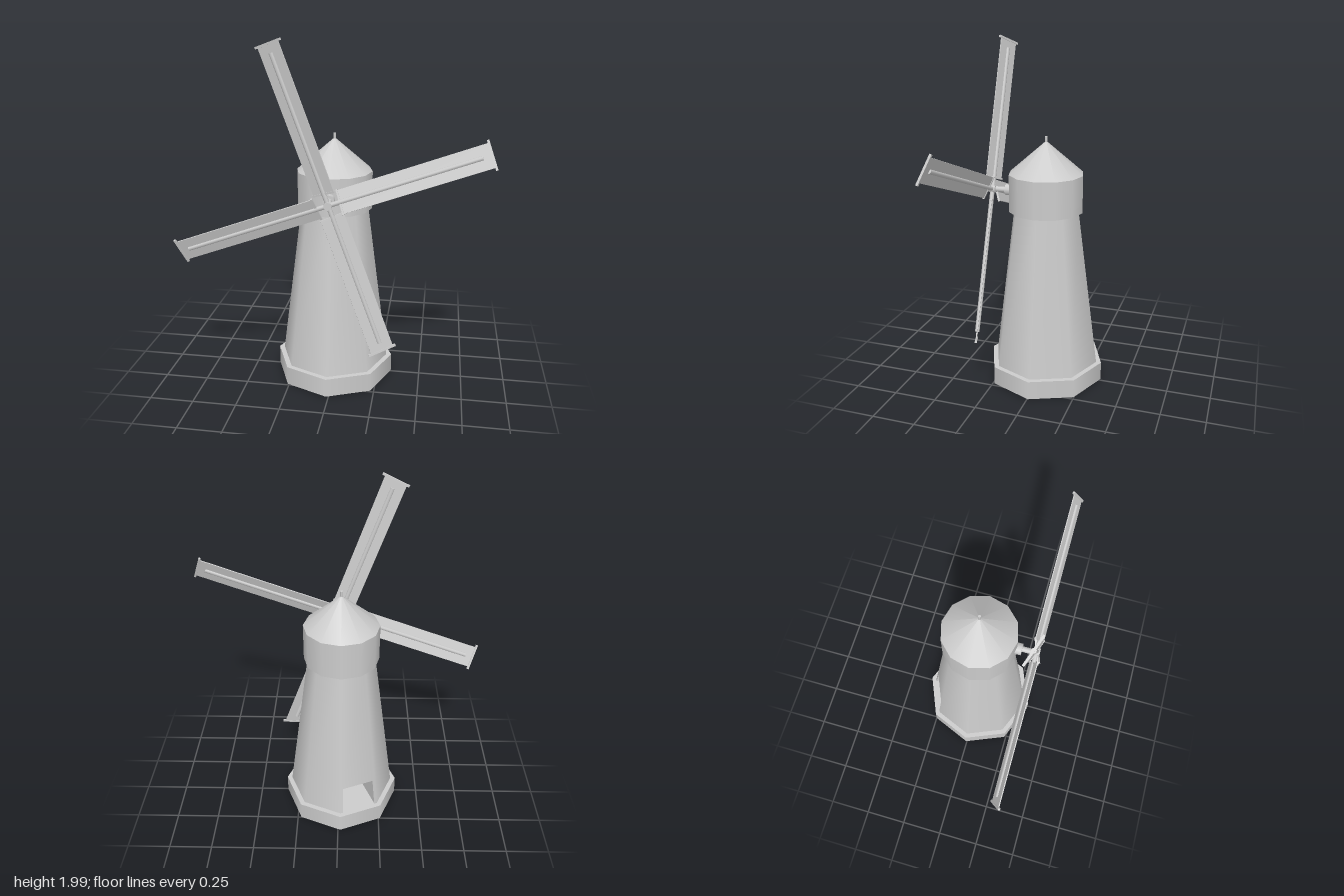
import * as THREE from 'three';

const material = new THREE.MeshStandardMaterial({ color: 0xcccccc, side: THREE.DoubleSide });

function add(parent, name, geometry, x = 0, y = 0, z = 0) {
  const mesh = new THREE.Mesh(geometry, material);
  mesh.name = name;
  mesh.position.set(x, y, z);
  parent.add(mesh);
  return mesh;
}

// Quads (corners anticlockwise from the front) to a non-indexed geometry
function quadGeometry(quads) {
  const points = quads.flatMap(([a, b, c, d]) => [a, b, c, a, c, d]);
  const geometry = new THREE.BufferGeometry().setFromPoints(points);
  geometry.computeVertexNormals();
  return geometry;
}

// Tapered eight-sided tower
const SIDES = 8, Y0 = 0.11, Y1 = 1.04, R0 = 0.315, R1 = 0.193;
const DOOR_SIDE = 4, DOOR_TOP = 0.285, DOOR_U = [0.07, 0.93];

function towerPoint(side, u, y) {
  const r = THREE.MathUtils.mapLinear(y, Y0, Y1, R0, R1);
  const corner = (k) => {
    const a = (k / SIDES) * Math.PI * 2;
    return new THREE.Vector3(Math.sin(a) * r, y, Math.cos(a) * r);
  };
  return corner(side).lerp(corner(side + 1), u);
}

function panel(side, u0, u1, y0, y1) {
  return [[u0, y0], [u1, y0], [u1, y1], [u0, y1]].map(([u, y]) => towerPoint(side, u, y));
}

function towerWalls() {
  const quads = [];
  for (let k = 0; k < SIDES; k++) {
    if (k !== DOOR_SIDE) {
      quads.push(panel(k, 0, 1, Y0, Y1));
      continue;
    }
    quads.push(panel(k, 0, 1, DOOR_TOP, Y1));
    quads.push(panel(k, 0, DOOR_U[0], Y0, DOOR_TOP), panel(k, DOOR_U[1], 1, Y0, DOOR_TOP));
  }
  const geometry = quadGeometry(quads);
  // Radial normals give the soft round shading
  const { position, normal } = geometry.attributes;
  const n = new THREE.Vector3();
  for (let i = 0; i < position.count; i++) {
    n.set(position.getX(i), 0, position.getZ(i)).normalize().setY((R0 - R1) / (Y1 - Y0)).normalize();
    normal.setXYZ(i, n.x, n.y, n.z);
  }
  return geometry;
}

function doorRecess() {
  const front = panel(DOOR_SIDE, DOOR_U[0], DOOR_U[1], Y0 + 0.003, DOOR_TOP);
  const angle = ((DOOR_SIDE + 0.5) / SIDES) * Math.PI * 2;
  const inward = new THREE.Vector3(-Math.sin(angle), 0, -Math.cos(angle)).multiplyScalar(0.4);
  const [a, b, c, d] = front;
  const [A, B, C, D] = front.map((p) => p.clone().add(inward));
  return quadGeometry([[A, B, C, D], [a, b, B, A], [d, D, C, c], [a, A, D, d], [B, b, c, C]]);
}

// One sail: pitched panel, spar and end battens, running along +x
function makeSail(angle) {
  const sail = new THREE.Group();
  sail.name = 'sail';
  sail.rotation.z = angle;
  const pitched = new THREE.Group();
  pitched.name = 'pitchedSail';
  pitched.rotation.x = -THREE.MathUtils.degToRad(20);
  sail.add(pitched);
  add(pitched, 'sailPanel', new THREE.BoxGeometry(0.81, 0.13, 0.006), 0.47);
  add(pitched, 'innerBatten', new THREE.BoxGeometry(0.01, 0.14, 0.012), 0.067);
  add(pitched, 'tipBatten', new THREE.BoxGeometry(0.012, 0.16, 0.012), 0.877);
  const spar = add(pitched, 'spar', new THREE.CylinderGeometry(0.013, 0.013, 0.83, 8), 0.415);
  spar.rotation.z = Math.PI / 2;
  return sail;
}

export function createModel() {
  const model = new THREE.Group();
  model.name = 'windmill';

  const body = new THREE.Group();
  body.name = 'body';
  body.position.set(-0.015, 0, -0.005);
  model.add(body);

  add(body, 'base', new THREE.CylinderGeometry(0.345, 0.345, 0.11, SIDES), 0, 0.055);
  add(body, 'tower', towerWalls());
  add(body, 'doorRecess', doorRecess());

  // Cap, conical roof and finial
  add(body, 'cap', new THREE.CylinderGeometry(0.215, 0.215, 0.215, 12), 0, 1.1425);
  add(body, 'roof', new THREE.ConeGeometry(0.215, 0.187, 12, 1, true), 0, 1.3435);
  add(body, 'finial', new THREE.CylinderGeometry(0.008, 0.008, 0.05, 8), 0, 1.437);

  // Shaft from the cap to the sails
  const shaft = add(model, 'shaft', new THREE.CylinderGeometry(0.016, 0.016, 0.14, 10), -0.008, 1.137, 0.262);
  const collar = add(model, 'shaftCollar', new THREE.CylinderGeometry(0.033, 0.033, 0.035, 10), -0.012, 1.137, 0.22);
  shaft.rotation.x = collar.rotation.x = Math.PI / 2;

  // Four sails around the hub
  const sails = new THREE.Group();
  sails.name = 'sails';
  sails.position.set(0, 1.137, 0.317);
  model.add(sails);
  const hub = add(sails, 'hub', new THREE.CylinderGeometry(0.022, 0.022, 0.04, 10));
  hub.rotation.x = Math.PI / 2;
  for (let i = 0; i < 4; i++) {
    sails.add(makeSail(THREE.MathUtils.degToRad(20 + 90 * i)));
  }
  return model;
}
